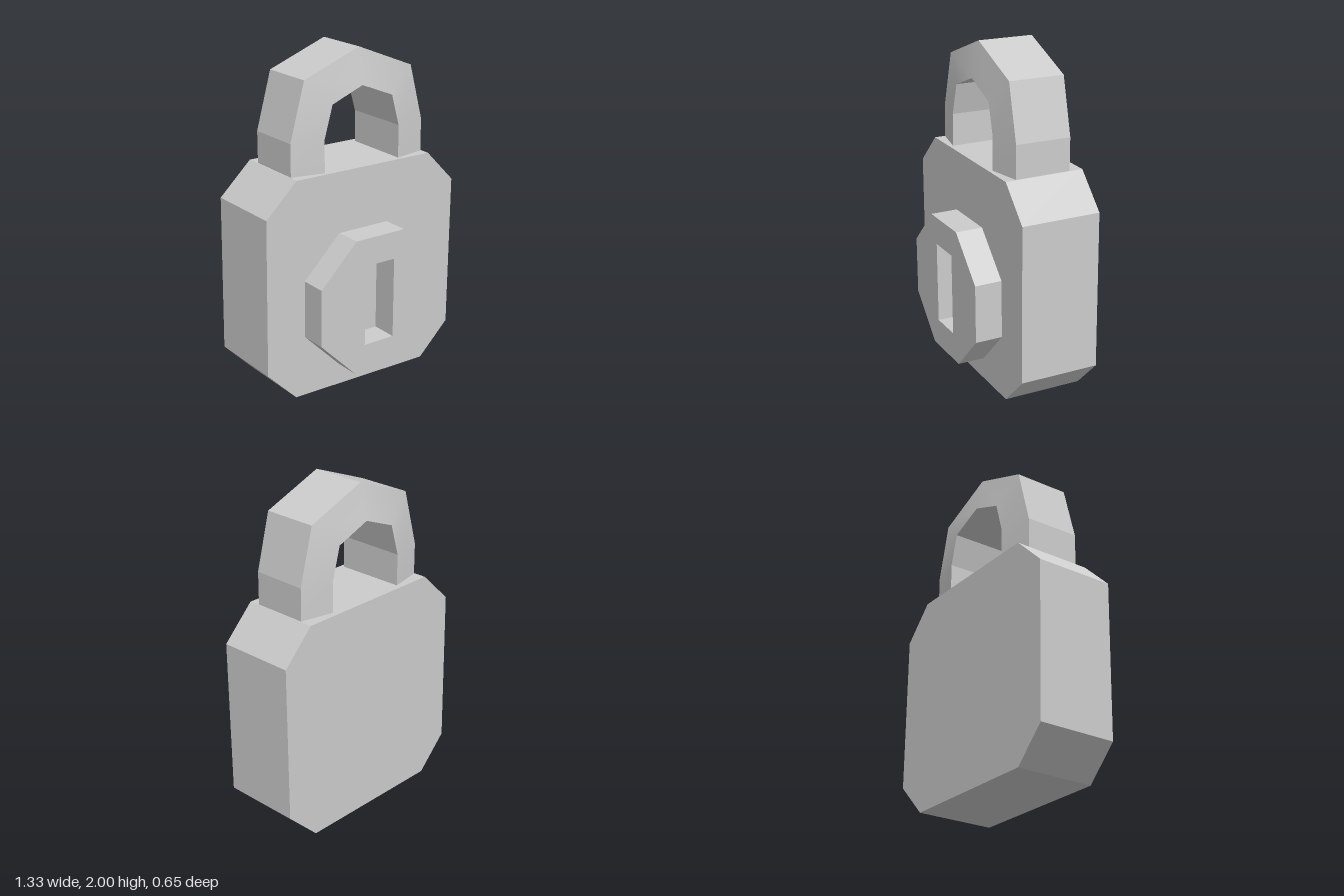
import * as THREE from 'three';
import { toCreasedNormals } from 'three/addons/utils/BufferGeometryUtils.js';

const material = new THREE.MeshStandardMaterial({ color: 0xcccccc });
const toPoints = (list) => list.map(([x, y]) => new THREE.Vector2(x, y));

function addMesh(parent, name, geometry) {
  const mesh = new THREE.Mesh(geometry, material);
  mesh.name = name;
  parent.add(mesh);
}

// Flat slab of an outline between two depths
function slab(outline, back, front, hole) {
  const shape = new THREE.Shape(toPoints(outline));
  if (hole) shape.holes.push(new THREE.Path(toPoints(hole)));
  return new THREE.ExtrudeGeometry(shape, { depth: front - back, bevelEnabled: false })
    .translate(0, 0, back);
}

// Arch swept from trapezoid sections, wider on the inside than on the outside
function shackleGeometry() {
  const outer = [[-0.455, 1.31], [-0.455, 1.52], [-0.36, 1.86], [0.01, 2], [0.38, 1.85], [0.465, 1.52], [0.465, 1.31]];
  const inner = [[-0.255, 1.31], [-0.255, 1.52], [-0.2, 1.71], [0.005, 1.79], [0.215, 1.705], [0.265, 1.52], [0.265, 1.31]];
  const positions = [];
  const index = [];
  outer.forEach(([x, y], i) => {
    const [u, v] = inner[i];
    positions.push(x, y, 0.105, x, y, -0.228, u, v, -0.272, u, v, 0.145);
  });
  for (let i = 0; i < outer.length - 1; i++) {
    for (let j = 0; j < 4; j++) {
      const a = i * 4 + j;
      const b = i * 4 + (j + 1) % 4;
      index.push(a, a + 4, b, b, a + 4, b + 4);
    }
  }
  // End caps under the legs
  const e = (outer.length - 1) * 4;
  index.push(0, 1, 2, 0, 2, 3, e, e + 2, e + 1, e, e + 3, e + 2);
  const geometry = new THREE.BufferGeometry();
  geometry.setAttribute('position', new THREE.Float32BufferAttribute(positions, 3));
  geometry.setIndex(index);
  return toCreasedNormals(geometry, 0.2);
}

export function createModel() {
  const model = new THREE.Group();
  model.name = 'padlock';

  // Case and lock plate lean forward very slightly
  const lockCase = new THREE.Group();
  lockCase.name = 'case';
  lockCase.rotation.x = 0.0105;
  model.add(lockCase);

  addMesh(lockCase, 'body', slab([
    [-0.475, 0.014], [0.455, 0.005], [0.655, 0.2], [0.66, 1.13],
    [0.47, 1.325], [-0.46, 1.33], [-0.66, 1.14], [-0.665, 0.205],
  ], -0.32, 0.155));

  // Octagonal plate with a rectangular keyhole down to the body
  addMesh(lockCase, 'keyPlate', slab([
    [-0.17, 0.14], [0.17, 0.14], [0.41, 0.38], [0.41, 0.725],
    [0.17, 0.963], [-0.17, 0.963], [-0.41, 0.725], [-0.41, 0.38],
  ], 0.15, 0.318, [[-0.105, 0.308], [-0.105, 0.797], [0.1, 0.797], [0.1, 0.308]]));

  addMesh(model, 'shackle', shackleGeometry());
  return model;
}
